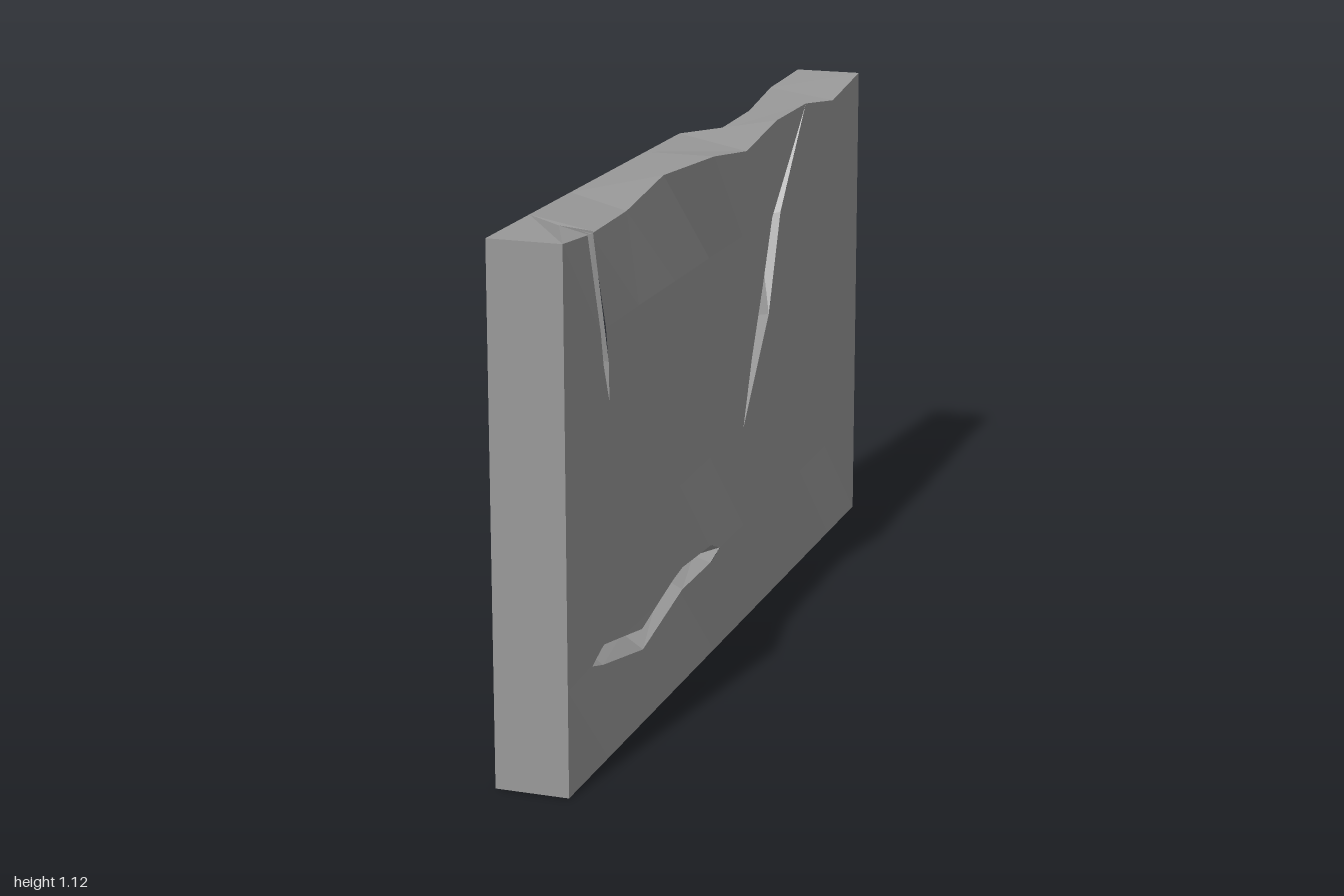
import * as THREE from 'three';

const W = 0.078, H = 1.115, NZ = 9, NY = 5;

// Collects flat triangles; each is turned to face the given direction.
function surface(name, material) {
  const pos = [];
  const tri = (a, b, c, dir) => {
    const n = b.clone().sub(a).cross(c.clone().sub(a));
    if (n.length() < 1e-9) return;
    for (const p of n.dot(dir) < 0 ? [a, c, b] : [a, b, c]) pos.push(p.x, p.y, p.z);
  };
  const poly = (pts, dir) => {
    for (let i = 1; i < pts.length - 1; i++) tri(pts[0], pts[i], pts[i + 1], dir);
  };
  // fills an outline of any shape, triangulated along one flat projection
  const cap = (pts, flat, dir) => {
    const faces = THREE.ShapeUtils.triangulateShape(pts.map(flat), []);
    for (const [a, b, c] of faces) tri(pts[a], pts[b], pts[c], dir);
  };
  const mesh = () => {
    const g = new THREE.BufferGeometry();
    g.setAttribute('position', new THREE.Float32BufferAttribute(pos, 3));
    g.computeVertexNormals();
    const m = new THREE.Mesh(g, material);
    m.name = name;
    return m;
  };
  return { tri, poly, cap, mesh };
}

// Cuts a convex polygon by the line a-b in the z/y plane; sign picks the kept side.
function clip(pts, a, b, sign) {
  const d = p => sign * ((b[0] - a[0]) * (p.y - a[1]) - (b[1] - a[1]) * (p.z - a[0]));
  const out = [];
  pts.forEach((p, i) => {
    const q = pts[(i + 1) % pts.length], dp = d(p), dq = d(q);
    if (dp >= 0) out.push(p);
    if (dp * dq < 0) out.push(p.clone().lerp(q, dp / (dp - dq)));
  });
  return out;
}

// Removes a convex outline from a convex polygon, returning the pieces left over.
function subtract(pts, hole) {
  let area = 0;
  hole.forEach((a, i) => {
    const b = hole[(i + 1) % hole.length];
    area += a[0] * b[1] - b[0] * a[1];
  });
  const s = Math.sign(area), pieces = [];
  let rest = pts;
  for (let i = 0; i < hole.length && rest.length > 2; i++) {
    const a = hole[i], b = hole[(i + 1) % hole.length];
    const outside = clip(rest, a, b, -s);
    if (outside.length > 2) pieces.push(outside);
    rest = clip(rest, a, b, s);
  }
  return rest.length > 2 ? pieces : [pts];
}

// Crack stations: one lip (z, y), other lip (z, y), groove bottom (z, y, depth)
const cracks = {
  shortCrack: [
    [0.805, 1.09, 0.772, 1.09, 0.788, 1.1, 0.065],
    [0.766, 0.82, 0.737, 0.82, 0.75, 0.83, 0.035],
    [0.74, 0.74, 0.74, 0.74, 0.74, 0.74, 0]],
  diagonalCrack: [
    [-0.11, 0.45, -0.11, 0.45, -0.11, 0.45, 0],
    [-0.22, 0.67, -0.305, 0.67, -0.265, 0.67, 0.05],
    [-0.333, 0.89, -0.395, 0.89, -0.38, 0.88, 0.05],
    [-0.556, H, -0.556, H, -0.556, H, 0]],
  lowCrack: [
    [0.845, 0.22, 0.845, 0.22, 0.845, 0.22, 0],
    [0.77, 0.24, 0.78, 0.2, 0.77, 0.222, 0.04],
    [0.555, 0.2, 0.555, 0.155, 0.555, 0.185, 0.045],
    [0.3, 0.253, 0.3, 0.203, 0.3, 0.225, 0.045],
    [0.13, 0.25, 0.13, 0.21, 0.13, 0.222, 0.04],
    [0.065, 0.225, 0.065, 0.225, 0.065, 0.225, 0]],
};

// Worn rims, indexed from the back end (z = -1): [inset in x, drop in y]
const crackedRim = { 1: [0, 0.03], 4: [0, 0.03], 6: [0.036, 0], 7: [0.036, 0.03], 8: [0.028, 0.03] };
const plainRim = { 1: [0, 0.008], 2: [0.018, 0.025], 3: [0.014, 0.033] };
// Worn rear corner, by row: [x inset, y shift, z inset]
const rearCorner = { 1: [0, -0.045, 0.03], 2: [0, 0, 0.03], 3: [0.01, 0, 0], 4: [0, 0, 0.03] };

function makeGrid(side) {
  let seed = 7;
  const rnd = () => (seed = (seed * 16807) % 2147483647) / 2147483647;
  rnd();
  const grid = [];
  for (let i = 0; i <= NZ; i++) {
    grid.push([]);
    for (let j = 0; j <= NY; j++) {
      const p = new THREE.Vector3(W, (H * j) / NY, -1 + (2 * i) / NZ);
      const inner = i > 0 && i < NZ && j > 0 && j < NY;
      if (side > 0 && inner) p.x -= rnd() * 0.012;
      const rim = j === NY && (side > 0 ? crackedRim : plainRim)[i];
      if (rim) { p.x -= rim[0]; p.y -= rim[1]; }
      const c = side < 0 && i === 0 && rearCorner[j];
      if (c) { p.x -= c[0]; p.y += c[1]; p.z += c[2]; }
      p.x *= side;
      grid[i].push(p);
    }
  }
  return grid;
}

export function createModel() {
  const group = new THREE.Group();
  group.name = 'crackedWallSlab';
  const stone = new THREE.MeshStandardMaterial({ color: 0x999999 });
  stone.name = 'stoneGrey';
  stone.flatShading = true;
  const front = makeGrid(1), back = makeGrid(-1);
  const X = new THREE.Vector3(1, 0, 0), Y = new THREE.Vector3(0, 1, 0), Z = new THREE.Vector3(0, 0, 1);

  const holes = [];
  for (const st of Object.values(cracks)) {
    for (let k = 0; k < st.length - 1; k++) {
      const a = st[k], b = st[k + 1];
      const ring = [[a[0], a[1]], [b[0], b[1]], [b[2], b[3]], [a[2], a[3]]];
      holes.push(ring.filter((p, i) => {
        const q = ring[(i + 1) % 4];
        return p[0] !== q[0] || p[1] !== q[1];
      }));
    }
  }

  // broad faces: uneven cells, with the crack openings cut from one side
  const cracked = surface('crackedFace', stone), plain = surface('plainFace', stone);
  const eachCell = (g, fn) => {
    for (let i = 0; i < NZ; i++) for (let j = 0; j < NY; j++) {
      fn([g[i][j], g[i + 1][j], g[i + 1][j + 1]]);
      fn([g[i][j], g[i + 1][j + 1], g[i][j + 1]]);
    }
  };
  eachCell(back, t => plain.poly(t, X.clone().negate()));
  eachCell(front, t => {
    let pieces = [t];
    for (const h of holes) pieces = pieces.flatMap(p => subtract(p, h));
    pieces.forEach(p => cracked.poly(p, X));
  });
  group.add(cracked.mesh(), plain.mesh());

  // height of the cracked face at a point, so groove lips meet it
  const faceX = (z, y) => {
    const u = (z + 1) * NZ / 2, v = Math.min(y / H, 1) * NY;
    const i = Math.min(Math.floor(u), NZ - 1), j = Math.min(Math.floor(v), NY - 1);
    const mix = THREE.MathUtils.lerp;
    return mix(mix(front[i][j].x, front[i + 1][j].x, u - i),
      mix(front[i][j + 1].x, front[i + 1][j + 1].x, u - i), v - j);
  };
  const lip = (z, y) => new THREE.Vector3(faceX(z, y), y, z);
  const bottom = s => new THREE.Vector3(faceX(s[4], s[5]) - s[6], s[5], s[4]);

  // V-shaped groove walls
  for (const [name, st] of Object.entries(cracks)) {
    const groove = surface(name, stone);
    for (let k = 0; k < st.length - 1; k++) {
      const a = st[k], b = st[k + 1];
      for (const o of [0, 2]) {
        groove.poly([lip(a[o], a[o + 1]), lip(b[o], b[o + 1]), bottom(b), bottom(a)], X);
      }
    }
    group.add(groove.mesh());
  }

  // worn top, notched where the short crack reaches it
  const top = surface('wornTop', stone), s = cracks.shortCrack[0];
  for (let i = 0; i < NZ; i++) {
    const a = front[i][NY], b = front[i + 1][NY], c = back[i + 1][NY], d = back[i][NY];
    if (i === 8) {
      const notch = [lip(s[2], s[3]), bottom(s), lip(s[0], s[1])];
      top.cap([...notch, b, c, d], p => new THREE.Vector2(p.z, p.x), Y);
    } else {
      top.poly([a, b, c, d], Y);
    }
  }

  // base and both ends
  const base = surface('base', stone), ends = surface('ends', stone);
  base.poly([front[0][0], front[NZ][0], back[NZ][0], back[0][0]], Y.clone().negate());
  for (const [i, dir] of [[0, Z.clone().negate()], [NZ, Z]]) {
    for (let j = 0; j < NY; j++) {
      ends.poly([front[i][j], front[i][j + 1], back[i][j + 1], back[i][j]], dir);
    }
  }
  group.add(top.mesh(), base.mesh(), ends.mesh());
  return group;
}
